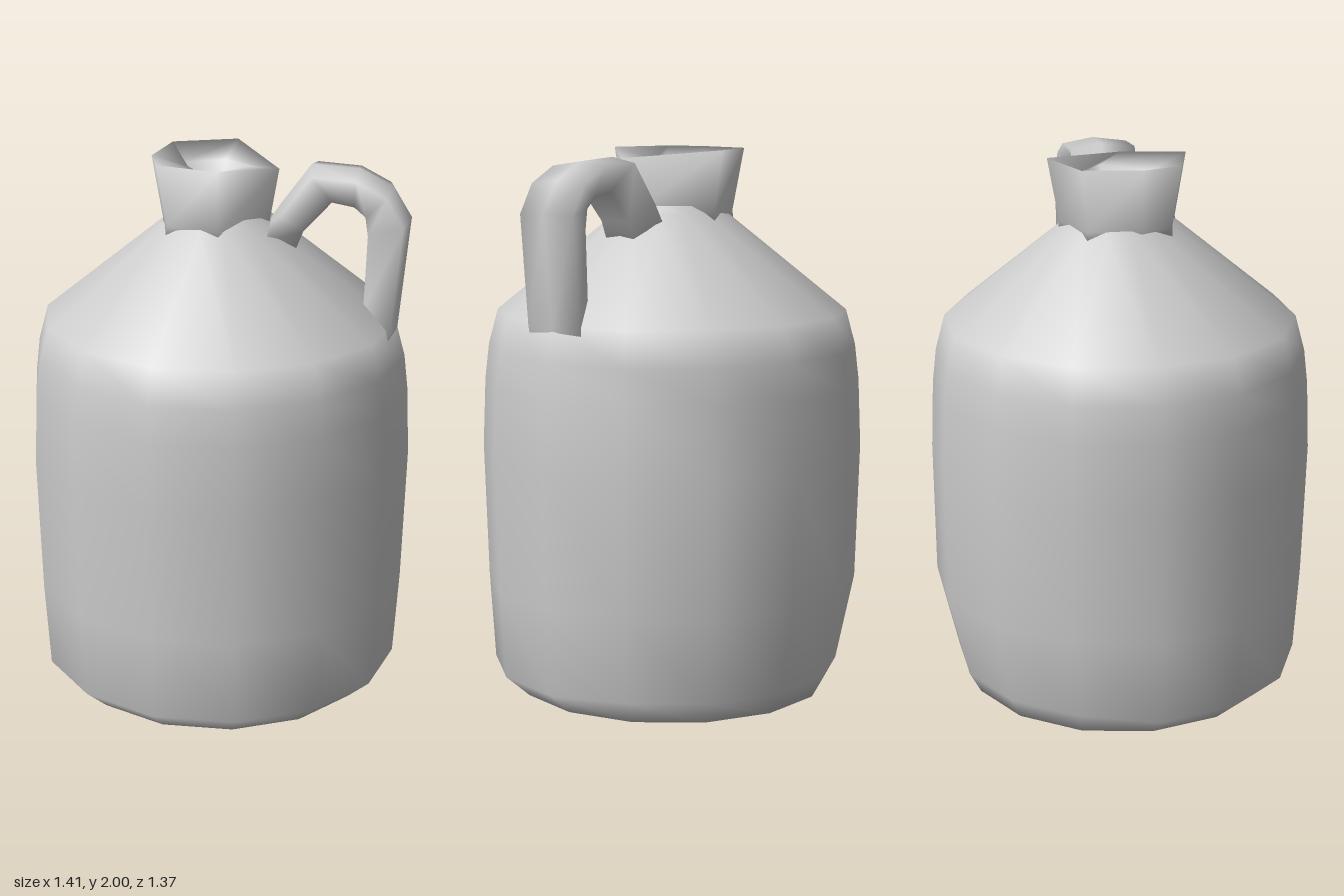
import * as THREE from 'three';
import { mergeVertices } from 'three/addons/utils/BufferGeometryUtils.js';

const material = new THREE.MeshStandardMaterial({ color: 0xcccccc, side: THREE.DoubleSide });

// Joins equal-sized closed rings of [x, y, z] points into a smooth skin with end caps
function loft(rings) {
  const n = rings[0].length;
  const index = [];
  for (let i = 0; i < rings.length - 1; i++) {
    for (let j = 0; j < n; j++) {
      const a = i * n + j, b = i * n + (j + 1) % n;
      index.push(a, b, b + n, a, b + n, a + n);
    }
  }
  const last = (rings.length - 1) * n;
  for (let j = 1; j < n - 1; j++) {
    index.push(0, j + 1, j, last, last + j, last + j + 1);
  }
  const geometry = new THREE.BufferGeometry();
  geometry.setAttribute('position', new THREE.Float32BufferAttribute(rings.flat(2), 3));
  geometry.setIndex(index);
  geometry.computeVertexNormals();
  return geometry;
}

function addPart(group, name, geometry) {
  const mesh = new THREE.Mesh(geometry, material);
  mesh.name = name;
  group.add(mesh);
}

// Barrel-shaped body, slightly dented, with a conical shoulder
function bodyGeometry() {
  const profile = [[0, 0.005], [0.58, 0], [0.67, 0.08], [0.69, 0.4], [0.705, 0.9],
    [0.695, 1.15], [0.68, 1.28], [0.645, 1.41], [0.2, 1.77], [0.17, 1.8]]
    .map(([r, y]) => new THREE.Vector2(r, y));
  let geometry = new THREE.LatheGeometry(profile, 14, -Math.PI / 2);
  const p = geometry.attributes.position;
  for (let i = 0; i < p.count; i++) {
    const x = p.getX(i), y = p.getY(i), z = p.getZ(i);
    const angle = Math.atan2(z, x);
    let scale = 1;
    // The lower back edge is worn away, the back right has a dent
    if (Math.abs(y - 0.08) < 0.01 && z < -0.2) scale = 0.93;
    if (y > 1.1 && y < 1.2 && angle < -0.4 && angle > -1.2) scale = 0.96;
    if (y > 0.1 && y < 0.5 && z < -0.6) scale = 1.015;
    p.setXYZ(i, x * scale, y, z * scale);
  }
  geometry.deleteAttribute('normal');
  geometry.deleteAttribute('uv');
  geometry = mergeVertices(geometry, 1e-4);
  geometry.computeVertexNormals();
  return geometry;
}

// Uneven flared neck whose rim folds into a narrow opening
function neckGeometry() {
  const rim = [[0.22, 0.05], [0.03, -0.26], [-0.2, -0.18], [-0.24, 0.04], [-0.2, 0.18], [0.03, 0.25]];
  const mouth = [[0.11, -0.05], [0, -0.14], [-0.15, -0.08], [-0.12, -0.02], [-0.05, 0.09], [-0.02, 0.11]];
  const ring = (points, y, s = 1) => points.map(([x, z]) => [x * s, y, z * s]);
  const top = ring(rim, 2);
  top[0][1] = 1.97;
  return loft([ring(rim, 1.72, 0.87), ring(rim, 1.77, 0.84), top, ring(mouth, 1.95), ring(mouth, 1.78, 0.7)]);
}

// Strap handle: outer and inner edge per station, from the neck down to the body
function handleGeometry() {
  const stations = [
    [0.16, 1.74, 0.26, 1.62], [0.22, 1.83, 0.31, 1.75], [0.33, 1.98, 0.41, 1.86],
    [0.5, 1.97, 0.49, 1.845], [0.62, 1.91, 0.53, 1.81], [0.69, 1.8, 0.54, 1.74],
    [0.65, 1.38, 0.53, 1.46], [0.61, 1.25, 0.48, 1.35],
  ];
  return loft(stations.map(([ox, oy, ix, iy]) => {
    const sx = ox + (ix - ox) * 0.15, sy = oy + (iy - oy) * 0.15;
    return [[sx, sy, -0.115], [ox, oy, 0], [sx, sy, 0.13], [ix, iy, 0.07], [ix, iy, -0.06]];
  }));
}

export function createModel() {
  const group = new THREE.Group();
  group.name = 'jug';
  addPart(group, 'body', bodyGeometry());
  addPart(group, 'neck', neckGeometry());
  addPart(group, 'handle', handleGeometry());
  return group;
}
